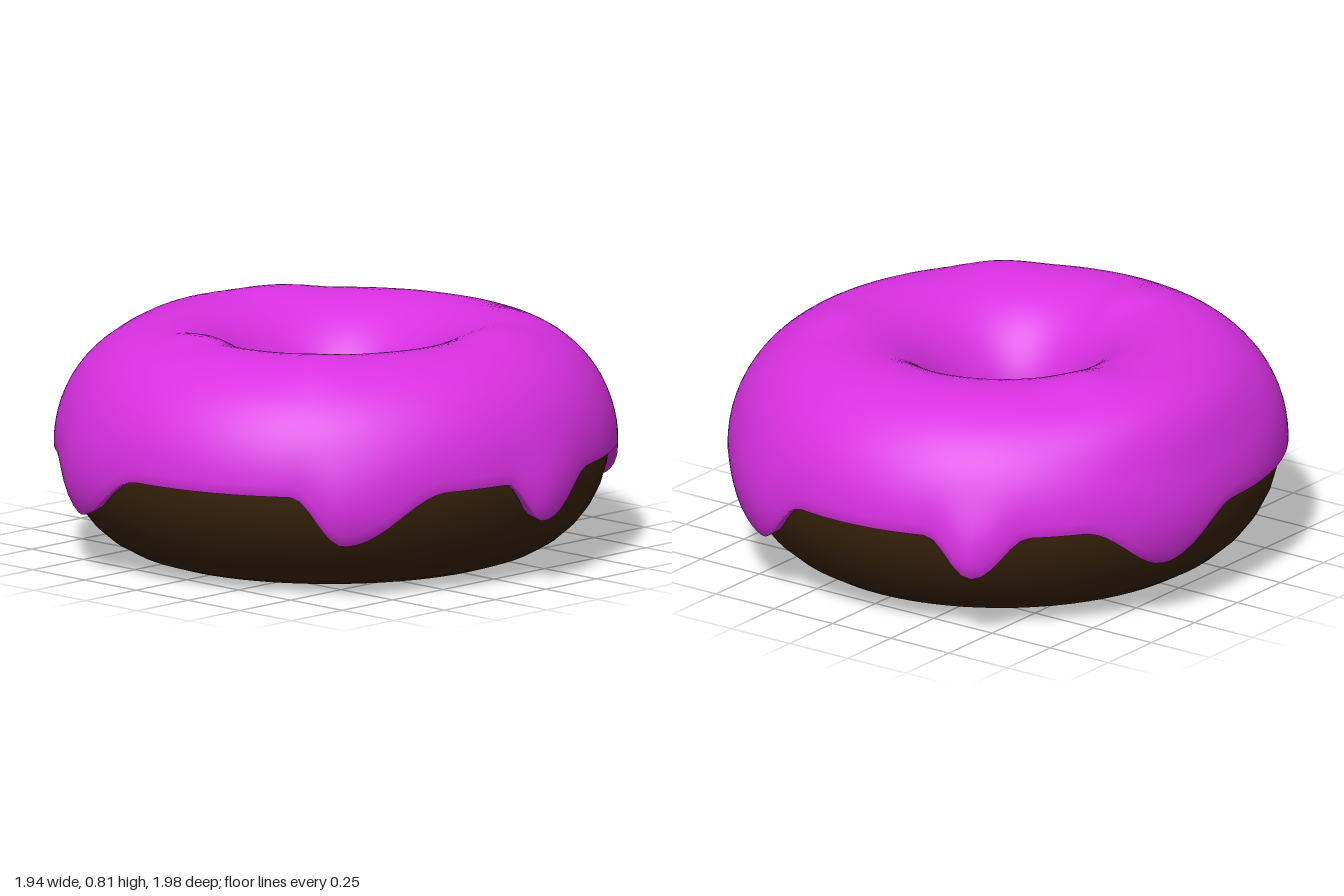
import * as THREE from 'three';

const R = 0.57, MID = 0.385; // ring radius and height of the tube centre
const rad = THREE.MathUtils.degToRad;

// Drips: [angle, half-width before, half-width after (degrees), drop in tube angle, outward flare]
const OUTER_DRIPS = [
  [-3, 16, 10, 0.38, 0.034],
  [43, 22, 11, 0.45, 0.025],
  [113, 24, 13, 0.45, 0.018],
  [197, 18, 20, 0.43, 0.006],
  [240, 12, 10, 0.36, 0.048],
  [296, 16, 25, 0.45, 0.024],
];
const INNER_DRIPS = [[22, 30, 26, 0.2, 0.028], [150, 40, 35, 0.1, 0], [265, 35, 40, 0.1, 0]];

// Soft swellings of the icing: [angle, tube angle, half-width around, half-width across, height]
const LUMPS = [
  [190, 0.9, 40, 0.6, 0.035],
  [205, 1.5, 22, 0.5, 0.018],
  [107, 1.75, 16, 0.5, 0.015],
  [335, 1.5, 22, 0.5, 0.015],
  [50, 1.35, 18, 0.5, 0.012],
];

const hump = (t) => (t >= 1 ? 0 : 0.5 + 0.5 * Math.cos(Math.PI * t));
const turn = (deg, at) => ((deg - at + 540) % 360) - 180;

// Drop and flare of the icing edge at an angle around the ring
function dripAt(drips, deg) {
  let drop = 0, flare = 0;
  for (const [at, before, after, depth, out] of drips) {
    const d = turn(deg, at);
    const k = hump(Math.abs(d) / (d < 0 ? before : after));
    drop = Math.max(drop, depth * k);
    flare = Math.max(flare, out * k);
  }
  return { drop, flare };
}

function lumpAt(deg, phi) {
  return LUMPS.reduce((sum, [at, across, w, h, height]) =>
    sum + height * hump(Math.hypot(turn(deg, at) / w, (phi - across) / h)), 0);
}

// Closed ring of open cross-sections: point(degrees, row) gives [radius, height]
function ringSurface(segments, rows, point) {
  const pos = [], index = [];
  for (let i = 0; i < segments; i++) {
    const deg = (i / segments) * 360, a = rad(deg);
    for (let j = 0; j < rows; j++) {
      const [r, y] = point(deg, j);
      pos.push(r * Math.cos(a), y, r * Math.sin(a));
      const p = i * rows + j, q = ((i + 1) % segments) * rows + j;
      if (j < rows - 1) index.push(p, p + 1, q, q, p + 1, q + 1);
    }
  }
  const geo = new THREE.BufferGeometry();
  geo.setAttribute('position', new THREE.Float32BufferAttribute(pos, 3));
  geo.setIndex(index);
  geo.computeVertexNormals();
  return geo;
}

function icingGeometry() {
  const rows = 40, last = rows - 1;
  return ringSurface(180, rows, (deg, j) => {
    const outer = dripAt(OUTER_DRIPS, deg), inner = dripAt(INNER_DRIPS, deg);
    const start = -0.02 - outer.drop, end = Math.PI + inner.drop;
    // The first and last two rows fold the lip back into the dough
    const t = THREE.MathUtils.clamp((j - 2) / (last - 4), 0, 1);
    const phi = start + (end - start) * t;
    const fold = Math.min(j, last - j);
    let w = 0.387, h = 0.41;
    if (fold === 0) { w = 0.33; h = 0.36; }
    if (fold === 1) { w = 0.375; h = 0.405; }
    // Drips bulge away from the dough near the edge
    const low = 1 - THREE.MathUtils.smoothstep(phi, -0.35, 0.4);
    const lowIn = THREE.MathUtils.smoothstep(phi, Math.PI - 0.6, Math.PI + 0.1);
    const bulge = fold === 0 ? 0 : outer.flare * low;
    const bulgeIn = fold === 0 ? 0 : inner.flare * lowIn;
    // The hole is a little wider towards the front
    const widen = 0.02 * Math.max(0, Math.sin(rad(deg))) * Math.max(0, -Math.cos(phi));
    const lump = lumpAt(deg, phi);
    return [
      R + (w + lump - widen) * Math.cos(phi) + bulge - bulgeIn,
      MID + (h + lump) * Math.sin(phi),
    ];
  });
}

function doughGeometry() {
  // Oval tube section, swept around the ring
  const profile = [];
  for (let i = 0; i <= 32; i++) {
    const a = -Math.PI + (i / 32) * Math.PI * 2;
    profile.push(new THREE.Vector2(R + 0.36 * Math.cos(a), MID + 0.385 * Math.sin(a)));
  }
  return new THREE.LatheGeometry(profile, 72);
}

export function createModel() {
  const group = new THREE.Group();
  group.name = 'doughnut';
  const add = (name, geo, color) => {
    const mesh = new THREE.Mesh(geo, new THREE.MeshStandardMaterial({ color }));
    mesh.name = name;
    mesh.scale.z = 1.035; // the ring is slightly oval
    mesh.position.set(-0.012, 0, 0.003);
    group.add(mesh);
  };
  add('dough', doughGeometry(), 0x38220a);
  add('icing', icingGeometry(), 0xd930e2);
  return group;
}
